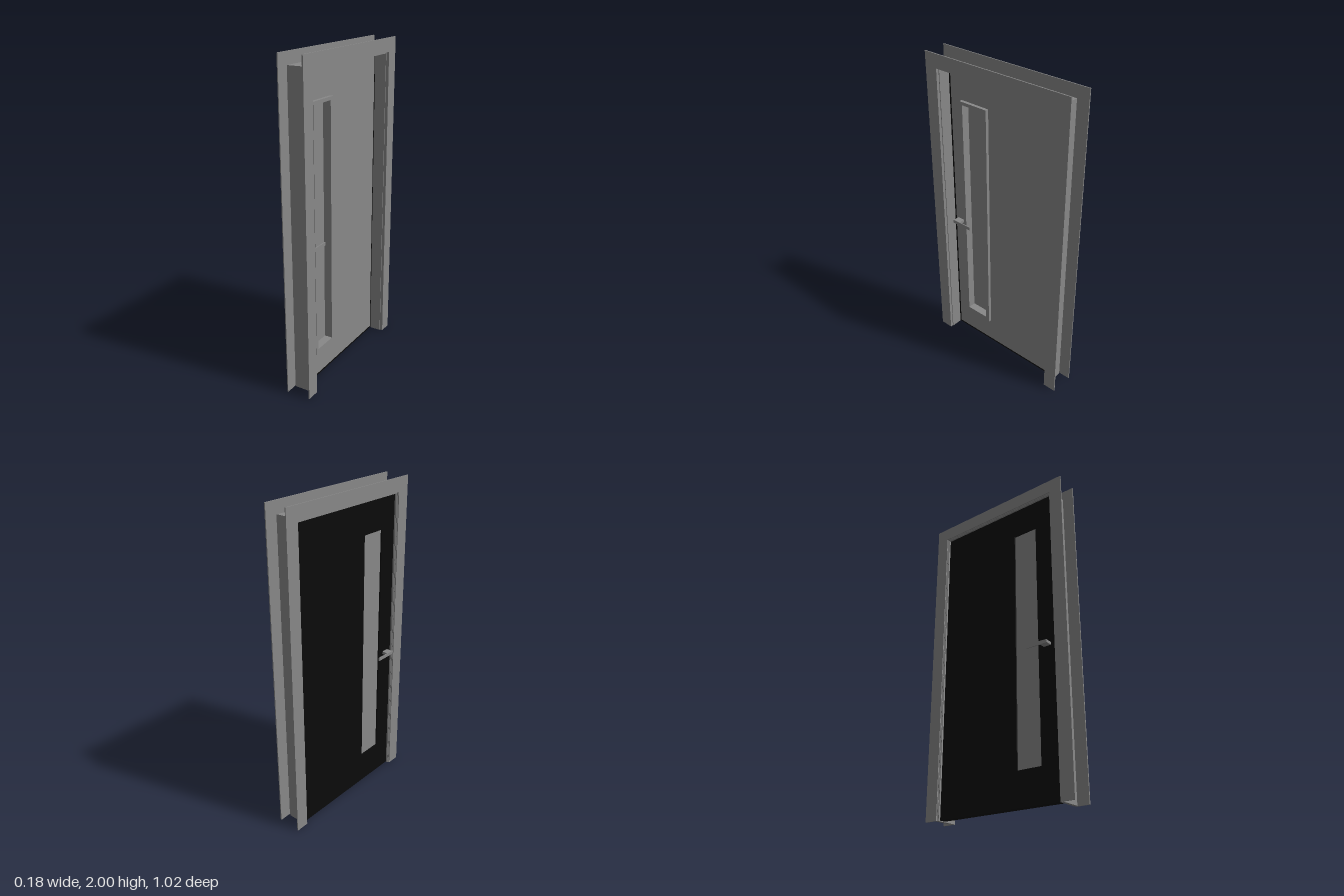
import * as THREE from 'three';

const grey = new THREE.MeshStandardMaterial({ color: 0x888888 });
const black = new THREE.MeshStandardMaterial({ color: 0x0b0b0b });

// Extrudes an outline drawn in the door plane (u = -z, v = y) from x0 to x1
function slab(name, shape, x0, x1, material = grey) {
  const geo = new THREE.ExtrudeGeometry(shape, { depth: x1 - x0, bevelEnabled: false });
  geo.rotateY(Math.PI / 2).translate(x0, 0, 0);
  const mesh = new THREE.Mesh(geo, material);
  mesh.name = name;
  return mesh;
}

const polygon = (points) => new THREE.Shape(points.map(([u, v]) => new THREE.Vector2(u, v)));
const rect = (u0, u1, v0, v1) => polygon([[u0, v0], [u1, v0], [u1, v1], [u0, v1]]);

// Doorway outline: two uprights and a head, open at the floor
const portal = (half, top, innerHalf, innerTop) => polygon([
  [-half, 0], [-innerHalf, 0], [-innerHalf, innerTop], [innerHalf, innerTop],
  [innerHalf, 0], [half, 0], [half, top], [-half, top],
]);

// Outline of the window opening, optionally grown by a margin
const opening = (m = 0) => rect(-0.295 - m, -0.14 + m, 0.21 - m, 1.71 + m);

// Rectangle with the window opening cut out
function withWindow(shape, margin) {
  shape.holes.push(opening(margin));
  return shape;
}

function box(name, x0, x1, y0, y1, z0, z1) {
  const mesh = new THREE.Mesh(new THREE.BoxGeometry(x1 - x0, y1 - y0, z1 - z0), grey);
  mesh.position.set((x0 + x1) / 2, (y0 + y1) / 2, (z0 + z1) / 2);
  mesh.name = name;
  return mesh;
}

// Lever handle standing on the plane x = 0 and pointing to +x
function handle(name) {
  const group = new THREE.Group();
  group.name = name;
  group.add(
    box('handlePost', 0, 0.04, 0.887, 0.904, 0.335, 0.384),
    box('handleLever', 0.04, 0.046, 0.885, 0.906, 0.245, 0.386),
  );
  return group;
}

export function createModel() {
  const model = new THREE.Group();
  model.name = 'door';

  // Frame with its trims, each joined to the jamb by a narrower tongue
  const frame = new THREE.Group();
  frame.name = 'frame';
  frame.add(
    slab('jamb', portal(0.436, 1.93, 0.415, 1.905), -0.056, 0.07),
    slab('frontTongue', portal(0.428, 1.925, 0.42, 1.913), 0.07, 0.081),
    slab('backTongue', portal(0.43, 1.925, 0.42, 1.91), -0.061, -0.056),
    slab('frontTrim', portal(0.503, 2, 0.42, 1.915), 0.081, 0.088),
    slab('backTrim', portal(0.508, 2, 0.425, 1.915), -0.067, -0.061),
  );

  // Leaf: dark core with a slightly smaller light facing
  const leaf = new THREE.Group();
  leaf.name = 'leaf';
  leaf.add(
    slab('leafCore', withWindow(rect(-0.414, 0.414, 0.004, 1.904), 0.003), -0.045, -0.003, black),
    slab('leafFacing', withWindow(rect(-0.4, 0.4, 0.019, 1.891), 0.003), -0.003, 0),
    slab('windowFrame', withWindow(rect(-0.315, -0.113, 0.18, 1.73)), 0, 0.021),
    slab('windowLining', withWindow(opening(0.003)), -0.03, 0),
    slab('windowPane', opening(0.003), -0.036, -0.03),
  );

  // Handles on both faces
  const front = handle('frontHandle');
  const back = handle('backHandle');
  back.scale.x = -1;
  back.position.x = -0.045;
  leaf.add(front, back);

  model.add(frame, leaf);
  return model;
}
